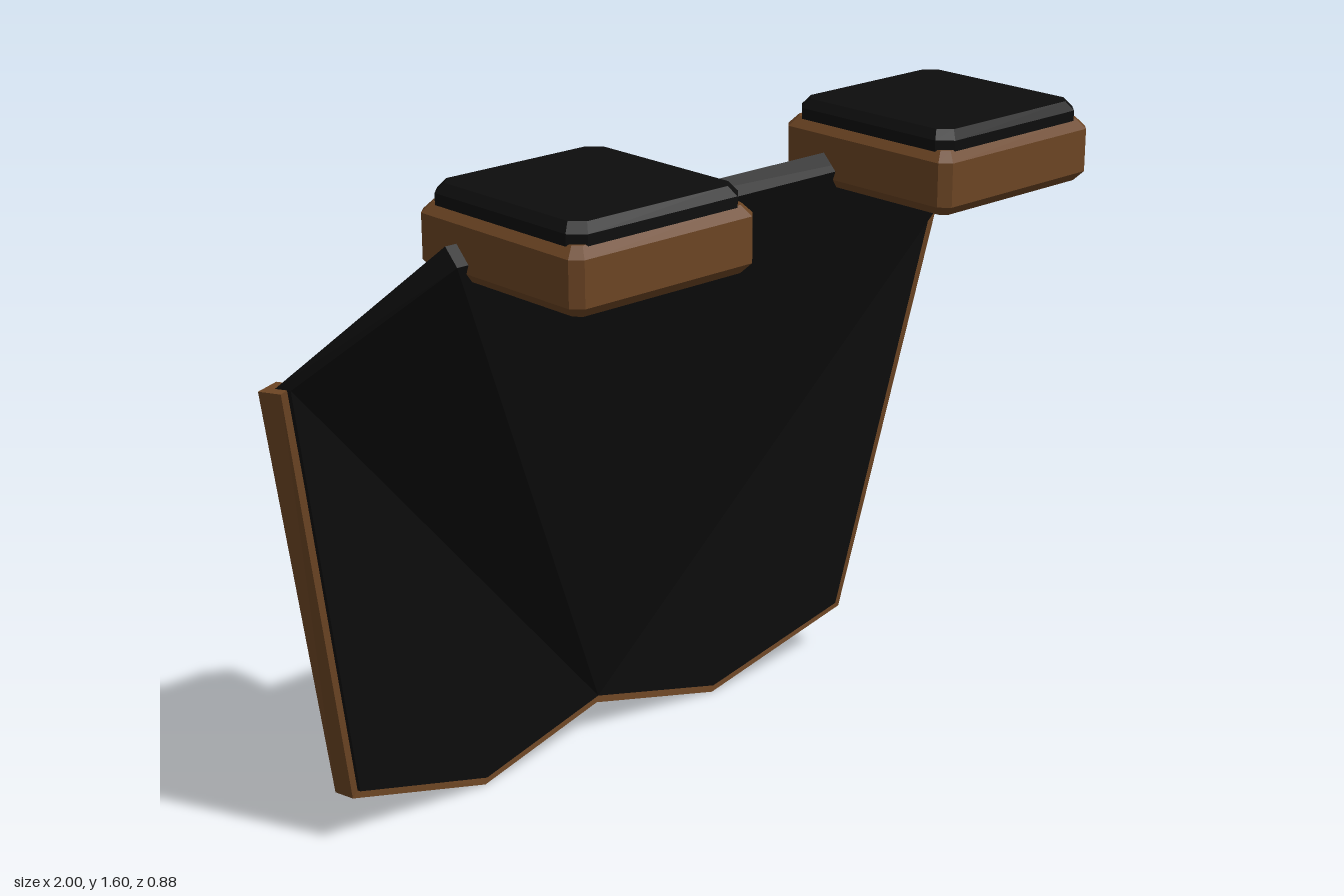
import * as THREE from 'three';

const black = new THREE.MeshStandardMaterial({ color: 0x0d0d0d });
black.name = 'black cloth';
const brown = new THREE.MeshStandardMaterial({ color: 0x6b4423 });
brown.name = 'brown leather';

const V = (x, y, z) => new THREE.Vector3(x, y, z);

// Faceted mesh from a list of polygons, each fanned from its first corner
function facetMesh(name, polygons, material) {
  const points = [];
  for (const p of polygons) {
    for (let i = 1; i < p.length - 1; i++) points.push(p[0], p[i], p[i + 1]);
  }
  const geometry = new THREE.BufferGeometry().setFromPoints(points);
  geometry.computeVertexNormals();
  const mesh = new THREE.Mesh(geometry, material);
  mesh.name = name;
  return mesh;
}

// Closed solid through equal-sized cross-section rings
function loft(rings) {
  const faces = [[...rings[0]].reverse(), rings[rings.length - 1]];
  for (let r = 0; r < rings.length - 1; r++) {
    const a = rings[r], b = rings[r + 1], n = a.length;
    for (let k = 0; k < n; k++) {
      const m = (k + 1) % n;
      faces.push([a[k], a[m], b[m], b[k]]);
    }
  }
  return faces;
}

// Rectangle with cut corners, lying flat at height y
function cutRectangle(halfX, halfZ, cut, y) {
  const x = halfX - cut, z = halfZ - cut;
  return [
    V(halfX, y, z), V(halfX, y, -z), V(x, y, -halfZ), V(-x, y, -halfZ),
    V(-halfX, y, -z), V(-halfX, y, z), V(-x, y, halfZ), V(x, y, halfZ),
  ];
}

// Half outline of the cape: front corner, direction to the back, outward direction
const hemCentre = { front: V(0, 0.107, -0.385), back: V(0, 0, -1), out: V(0, -1, 0) };
const leftHem = [
  { front: V(0.365, 0.022, -0.365), back: V(0.08, 0, -1), out: V(0, -1, 0) },
  { front: V(0.757, 0.143, -0.323), back: V(0.2, 0, -0.98), out: V(0.8, -0.7, 0) },
  { front: V(0.955, 1.165, -0.215), back: V(0.45, 0, -0.89), out: V(0.98, -0.17, 0.1) },
];
const leftTop = { front: V(0.78, 1.462, 0.12), back: V(0, 1, -1) };
const flip = V(-1, 1, 1);
const mirror = (c) => Object.fromEntries(
  Object.entries(c).map(([key, v]) => [key, v.clone().multiply(flip)]));

function makeCape() {
  const outline = [hemCentre, ...leftHem, leftTop, mirror(leftTop),
    ...leftHem.map(mirror).reverse()];
  const front = outline.map((c) => c.front);
  const back = outline.map((c) => c.front.clone().addScaledVector(c.back, 0.036));
  const faces = [front, [back[0], ...back.slice(1).reverse()]];
  front.forEach((f, i) => {
    const j = (i + 1) % front.length;
    faces.push([f, back[i], back[j], front[j]]);
  });
  return facetMesh('cape', faces, black);
}

// Leather border along the sides and hem, standing proud at the back
function makeTrim() {
  const path = [...leftHem.map(mirror).reverse(), hemCentre, ...leftHem];
  const section = [[0.02, 0.006], [0.02, 0.058], [-0.03, 0.058], [-0.03, 0.012]];
  const rings = path.map((c) => section.map(([out, depth]) =>
    c.front.clone().addScaledVector(c.out, out).addScaledVector(c.back, depth)));
  return facetMesh('capeTrim', loft(rings), brown);
}

// Shoulder pad: bevelled leather block with a thin cushion on top
function makePad(side) {
  const pad = new THREE.Group();
  pad.name = side > 0 ? 'leftShoulderPad' : 'rightShoulderPad';
  const block = [
    cutRectangle(0.22, 0.225, 0.015, 1.42),
    cutRectangle(0.24, 0.245, 0.022, 1.442),
    cutRectangle(0.24, 0.245, 0.022, 1.538),
    cutRectangle(0.22, 0.225, 0.015, 1.56),
  ];
  const cushion = [
    cutRectangle(0.224, 0.228, 0.03, 1.55),
    cutRectangle(0.224, 0.228, 0.03, 1.58),
    cutRectangle(0.208, 0.212, 0.026, 1.6),
  ];
  pad.add(facetMesh('padBlock', loft(block), brown));
  pad.add(facetMesh('padCushion', loft(cushion), black));
  pad.position.set(side * 0.512, 0, 0.197);
  return pad;
}

export function createModel() {
  const model = new THREE.Group();
  model.name = 'capeWithShoulderPads';
  model.add(makeCape(), makeTrim(), makePad(1), makePad(-1));
  return model;
}
